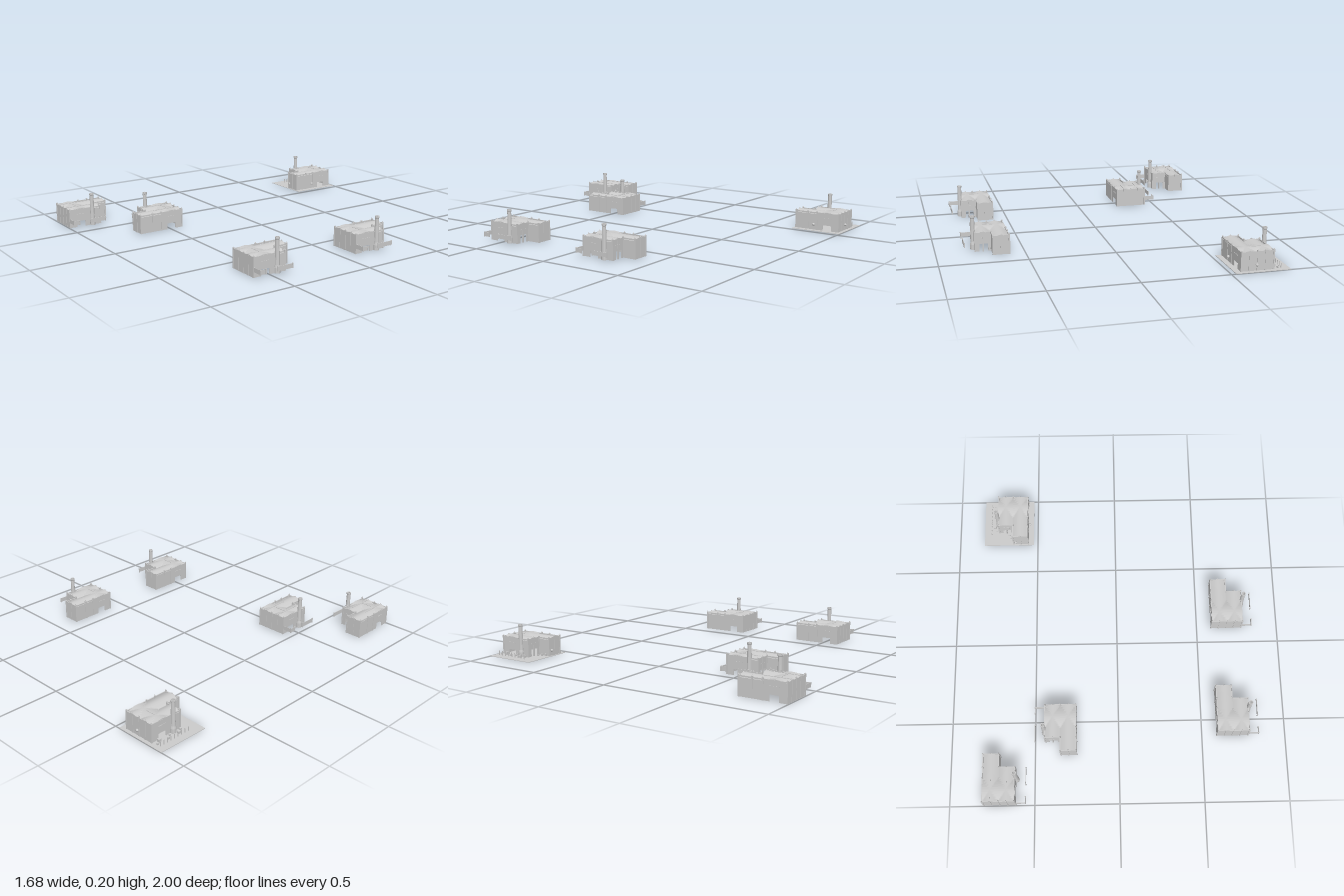
import * as THREE from 'three';

const grey = new THREE.MeshStandardMaterial({ color: 0xcccccc, flatShading: true, side: THREE.DoubleSide });

// House footprint, local frame: wide hall plus a narrow wing towards +z
const W = 0.093, BACK = -0.14, HALL = 0.06, WING = 0.14, CROSS = 0;
const EAVE = 0.101, RISE = 0.015;

const arc = (t) => Math.sin(Math.PI * THREE.MathUtils.clamp(t, 0, 1));

// Two barrel vaults along z, crossed by one along x over the rear bay
function roofHeight(x, z) {
  const along = arc((x < 0 ? x + W : x) / W);
  const across = z <= CROSS ? arc((z - BACK) / (CROSS - BACK)) : 0;
  return EAVE + RISE * Math.max(along, across);
}

function add(parent, name, geometry, x = 0, y = 0, z = 0) {
  const mesh = new THREE.Mesh(geometry, grey);
  mesh.name = name;
  mesh.position.set(x, y, z);
  parent.add(mesh);
  return mesh;
}

function box(parent, name, x0, x1, y0, y1, z0, z1) {
  return add(parent, name, new THREE.BoxGeometry(x1 - x0, y1 - y0, z1 - z0),
    (x0 + x1) / 2, (y0 + y1) / 2, (z0 + z1) / 2);
}

// Wall between two corners, its top following the vaults, with optional doorway
function wall(parent, ax, az, bx, bz, door) {
  const len = Math.hypot(bx - ax, bz - az);
  const shape = new THREE.Shape();
  shape.moveTo(0, 0);
  if (door) {
    const [d0, d1, h] = door;
    shape.lineTo(d0, 0);
    shape.lineTo(d0, h);
    shape.lineTo(d1, h);
    shape.lineTo(d1, 0);
  }
  shape.lineTo(len, 0);
  for (let i = 16; i >= 0; i--) {
    const t = i / 16;
    shape.lineTo(len * t, roofHeight(ax + (bx - ax) * t, az + (bz - az) * t));
  }
  const g = new THREE.ExtrudeGeometry(shape, { depth: 0.003, bevelEnabled: false });
  g.translate(0, 0, -0.0015);
  const m = add(parent, 'wall', g, ax, 0, az);
  m.rotation.y = -Math.atan2(bz - az, bx - ax);
}

// Grid of roof surface over a rectangle
function vault(parent, x0, x1, z0, z1) {
  const g = new THREE.PlaneGeometry(x1 - x0, z1 - z0, 16, 20);
  g.rotateX(-Math.PI / 2);
  g.translate((x0 + x1) / 2, 0, (z0 + z1) / 2);
  const p = g.attributes.position;
  for (let i = 0; i < p.count; i++) p.setY(i, roofHeight(p.getX(i), p.getZ(i)));
  g.computeVertexNormals();
  add(parent, 'vaultedRoof', g);
}

function makeHouse(options) {
  const house = new THREE.Group();
  house.name = 'house';

  // Walls, with a passage running through the hall
  const corners = [[-W, BACK], [W, BACK], [W, WING], [0, WING], [0, HALL], [-W, HALL]];
  const doors = { 1: [0.045, 0.1, 0.036], 4: [0.018, 0.068, 0.045], 5: [0.1, 0.155, 0.036] };
  corners.forEach(([x, z], i) => {
    const [nx, nz] = corners[(i + 1) % corners.length];
    wall(house, x, z, nx, nz, doors[i]);
    // Cornice band
    const e = 0.0025;
    box(house, 'cornice', Math.min(x, nx) - e, Math.max(x, nx) + e, 0.104, 0.112,
      Math.min(z, nz) - e, Math.max(z, nz) + e);
  });

  // Roof
  vault(house, -W, 0, BACK, HALL);
  vault(house, 0, W, BACK, WING);
  box(house, 'crossRidge', -0.045, 0.025, 0.115, 0.118, -0.0715, -0.0685);
  if (options.roofBeams) for (const x of [-W / 2, W / 2])
    box(house, 'ridgeBeam', x - 0.0015, x + 0.0015, 0.115, 0.118, BACK, 0.03);

  // Pilasters with small finials
  const posts = [...corners, [0, BACK], [-W / 2, BACK], [W / 2, BACK], [-W, CROSS], [W, CROSS],
    [W, HALL], [W / 2, WING], [-W / 2, HALL]];
  for (const [x, z] of posts) {
    box(house, 'pilaster', x - 0.004, x + 0.004, 0, 0.117, z - 0.004, z + 0.004);
    add(house, 'finial', new THREE.ConeGeometry(0.005, 0.007, 4), x, 0.12, z);
  }

  // Ledges over the doorways
  for (const s of [-1, 1])
    box(house, 'doorLedge', s * W - 0.004, s * W + 0.004, 0.076, 0.081, -0.095, -0.04);
  box(house, 'doorLedge', -0.07, -0.025, 0.076, 0.081, HALL - 0.002, HALL + 0.004);

  // Round chimney stack
  const profile = [[0.017, 0], [0.017, 0.03], [0.014, 0.045], [0.0115, 0.185], [0.0135, 0.188],
    [0.0135, 0.198], [0.009, 0.198], [0.009, 0.17]];
  add(house, 'chimney', new THREE.LatheGeometry(profile.map((p) => new THREE.Vector2(...p)), 12),
    -0.098, 0, 0.007);

  // Raised rails beside the hall
  if (options.rails) {
    const r = -0.154;
    box(house, 'sideRail', r - 0.0015, r + 0.0015, 0.032, 0.057, -0.03, 0.067);
    box(house, 'sideRail', r - 0.0015, r + 0.0015, 0.032, 0.057, BACK, -0.105);
    box(house, 'backRail', r, -W, 0.032, 0.057, BACK - 0.0015, BACK + 0.0015);
    for (const z of [BACK, -0.105, -0.03, 0.067])
      box(house, 'railPost', r - 0.003, r + 0.003, 0.03, 0.059, z - 0.003, z + 0.003);
  }
  return house;
}

// Ground plate, yard clutter and lamps of the rear house
function makeYard() {
  const yard = new THREE.Group();
  yard.name = 'yard';
  box(yard, 'groundPlate', -0.843, -0.527, 0, 0.003, -1, -0.687);
  for (let i = 0; i < 9; i++) {
    const z = -0.965 + i * 0.025, s = 0.005 + (i * 7 % 4) * 0.001;
    box(yard, 'fencePost', -0.801, -0.797, 0, 0.03, z - 0.002, z + 0.002);
    if (i % 3 !== 2) {
      const x = -0.78 + (i * 5 % 3) * 0.008;
      box(yard, 'crate', x - s, x + s, 0.003, 0.003 + 2 * s, z - s, z + s);
    }
  }
  for (let i = 0; i < 3; i++)
    box(yard, 'crate', -0.69 + i * 0.012, -0.68 + i * 0.012, 0.003, 0.013 + i * 0.003,
      -0.765 + i * 0.02, -0.753 + i * 0.02);
  for (const [x, z] of [[-0.55, -0.82], [-0.64, -0.69], [-0.65, -0.985]])
    add(yard, 'lamp', new THREE.SphereGeometry(0.0085, 8, 6), x, 0.037, z);
  return yard;
}

export function createModel() {
  const village = new THREE.Group();
  village.name = 'village';
  const places = [
    { x: -0.655, z: -0.837, turn: 0, rails: false, roofBeams: false },
    { x: -0.347, z: 0.56, turn: Math.PI, flip: true, rails: true, roofBeams: true },
    { x: -0.706, z: 0.853, turn: Math.PI, rails: true, roofBeams: true },
    { x: 0.683, z: -0.235, turn: Math.PI, rails: true, roofBeams: false },
    { x: 0.683, z: 0.457, turn: Math.PI, rails: true, roofBeams: false },
  ];
  for (const p of places) {
    const house = makeHouse(p);
    house.position.set(p.x, 0, p.z);
    house.rotation.y = p.flip ? 0 : p.turn;
    village.add(house);
  }
  village.add(makeYard());
  return village;
}
